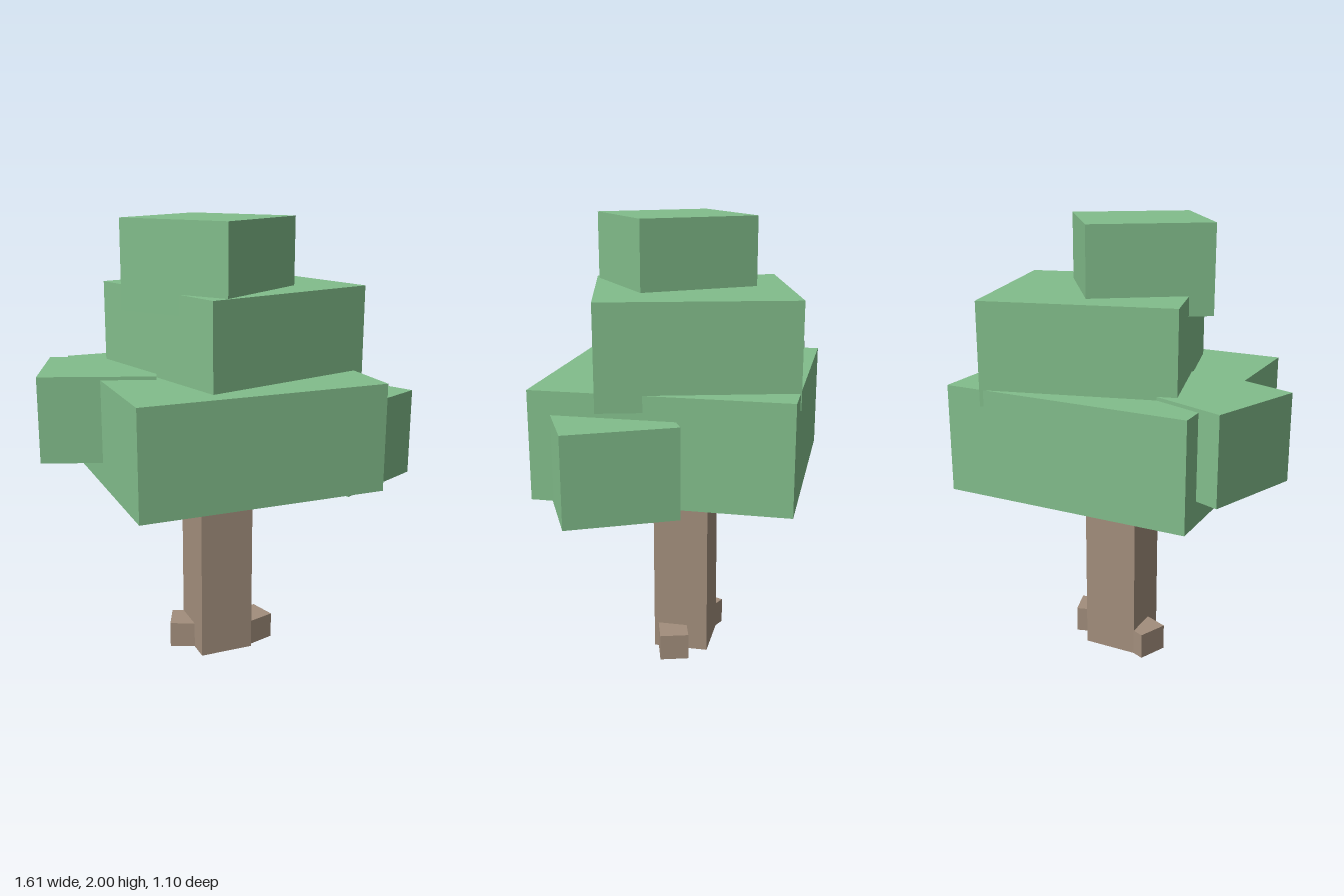
import * as THREE from 'three';

export function createModel() {
  const leaf = new THREE.MeshStandardMaterial({ color: 0x82bd8b });
  leaf.name = 'leaf green';
  const bark = new THREE.MeshStandardMaterial({ color: 0xa28e7c });
  bark.name = 'bark brown';

  const tree = new THREE.Group();
  tree.name = 'tree';

  // Box from its width, depth, bottom and top heights, centre and turn about y
  function block(name, material, w, d, y0, y1, x, z, turn = 0) {
    const mesh = new THREE.Mesh(new THREE.BoxGeometry(w, y1 - y0, d), material);
    mesh.name = name;
    mesh.position.set(x, (y0 + y1) / 2, z);
    mesh.rotation.y = turn;
    tree.add(mesh);
  }

  // Trunk and its two roots
  block('trunk', bark, 0.25, 0.25, 0, 1.0, -0.012, 0.002);
  block('leftRoot', bark, 0.18, 0.13, 0, 0.12, 0.138, 0.033, 0.287);
  block('rightRoot', bark, 0.18, 0.14, 0, 0.12, -0.132, -0.045, -0.41);

  // Foliage: broad base, two side clumps and two stacked tiers
  block('foliageBase', leaf, 1.092, 1.092, 0.865, 1.335, -0.01, 0.001);
  block('leftClump', leaf, 0.471, 0.471, 0.85, 1.235, 0.4925, 0.21, 0.4456);
  block('rightClump', leaf, 0.505, 0.443, 0.97, 1.35, -0.495, -0.177, -0.35);
  block('foliageMiddle', leaf, 0.825, 0.825, 1.265, 1.705, 0.08, -0.044, 0.2615);
  block('foliageTop', leaf, 0.533, 0.533, 1.62, 2.0, -0.07, 0.06, 0.608);

  return tree;
}
